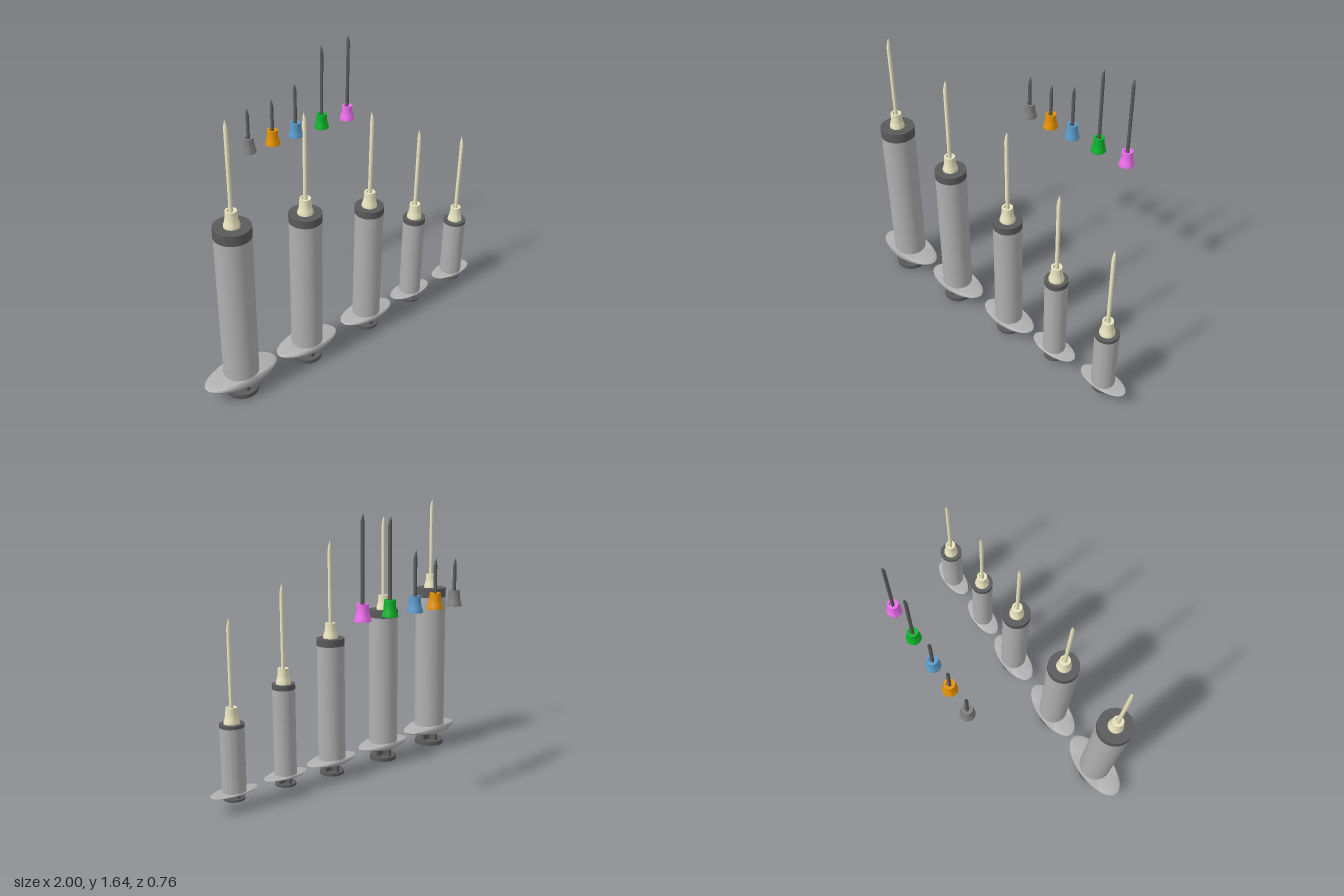
import * as THREE from 'three';
import { toCreasedNormals } from 'three/addons/utils/BufferGeometryUtils.js';

const mat = (color) => new THREE.MeshStandardMaterial({ color });
const BARREL = mat(0xb0b0b0), DARK = mat(0x5a5a5a), CREAM = mat(0xeae5c0);

function add(parent, name, geometry, material) {
  const mesh = new THREE.Mesh(geometry, material);
  mesh.name = name;
  parent.add(mesh);
  return mesh;
}

// Revolved profile of [radius, height] pairs, listed from bottom to top
function turned(profile, segments = 32) {
  const points = profile.map(([r, y]) => new THREE.Vector2(r, y));
  return toCreasedNormals(new THREE.LatheGeometry(points, segments), 0.6);
}

function disc(r, y0, y1) {
  return turned([[0, y0], [r, y0], [r, y1], [0, y1]], 40);
}

// Flared hub with a small recess in the top, 0.09 tall
function hub(y) {
  return turned([[0, 0], [0.044, 0], [0.043, 0.012], [0.038, 0.026], [0.033, 0.05],
    [0.031, 0.09], [0.02, 0.09], [0.017, 0.075], [0, 0.075]].map(([r, h]) => [r, y + h]));
}

// Thin shaft with a slanted point
function needle(y0, tip, r, taper) {
  const g = new THREE.LatheGeometry([[0, y0], [r, y0], [r, tip - taper], [r * 0.7, tip - taper * 0.5], [0, tip]]
    .map(([a, b]) => new THREE.Vector2(a, b)), 16);
  const p = g.attributes.position;
  for (let i = 0; i < p.count; i++) {
    const t = Math.max(0, (p.getY(i) - tip + taper) / taper);
    p.setZ(i, p.getZ(i) - t * r * 0.5);
  }
  return toCreasedNormals(g, 0.6);
}

// Oval finger flange, thick in the middle and thinning towards both wing tips
function fingerFlange(halfX, halfZ, y0, y1) {
  const h = (y1 - y0) / 2;
  const profile = [[0, -1], [0.45, -1], [0.92, -1], [0.98, -0.6], [1, 0], [0.98, 0.6], [0.92, 1], [0.45, 1], [0, 1]];
  const g = new THREE.LatheGeometry(profile.map(([r, y]) => new THREE.Vector2(r, y)), 56);
  const p = g.attributes.position;
  for (let i = 0; i < p.count; i++) {
    const x = p.getX(i);
    const thickness = h * (1 - 0.75 * Math.min(1, Math.abs(x)));
    p.setXYZ(i, x * halfX, (y0 + y1) / 2 + p.getY(i) * thickness, p.getZ(i) * halfZ);
  }
  g.computeVertexNormals();
  return toCreasedNormals(g, 0.6);
}

function syringe(s) {
  const g = new THREE.Group();
  g.name = 'syringe';
  const [f0, f1] = s.flange;
  const [b0, b1] = s.base;
  add(g, 'barrel', disc(s.r, f0 + 0.002, s.cap), BARREL);
  add(g, 'collar', disc(s.r + 0.001, s.cap, s.top), DARK);
  add(g, 'fingerFlange', fingerFlange(s.halfX, s.halfZ, f0, f1), BARREL);
  add(g, 'hub', hub(s.top), CREAM);
  add(g, 'needle', needle(s.top + 0.05, s.tip, 0.011, 0.06), CREAM);

  // Plunger: thumb disc, crossed ribs and a small inner collar
  add(g, 'thumbDisc', disc(s.baseR, b0, b1), DARK);
  const ribTop = f0 + 0.01;
  for (const turn of [0, Math.PI / 2]) {
    const rib = add(g, 'plungerRib', new THREE.BoxGeometry(s.r * 1.35, ribTop - b1, s.r * 0.2), DARK);
    rib.position.y = (ribTop + b1) / 2;
    rib.rotation.y = turn;
  }
  add(g, 'plungerCollar', disc(s.r * 0.7, ribTop - 0.018, ribTop), DARK);
  g.position.set(s.x, 0, 0.27);
  return g;
}

function spareNeedle(x, tip, color) {
  const g = new THREE.Group();
  g.name = 'spareNeedle';
  add(g, 'hub', hub(1.07), mat(color));
  add(g, 'needle', needle(1.12, tip, 0.01, 0.045), DARK);
  g.position.set(x, 0, -0.34);
  return g;
}

export function createModel() {
  const model = new THREE.Group();
  model.name = 'syringeSet';

  // Five syringes from largest to smallest
  [
    { x: -0.774, r: 0.099, cap: 1.012, top: 1.07, tip: 1.645, halfX: 0.226, halfZ: 0.108, flange: [0.085, 0.145], base: [0.003, 0.03], baseR: 0.094 },
    { x: -0.323, r: 0.09, cap: 0.93, top: 0.976, tip: 1.555, halfX: 0.203, halfZ: 0.098, flange: [0.08, 0.125], base: [0, 0.025], baseR: 0.084 },
    { x: 0.125, r: 0.082, cap: 0.812, top: 0.855, tip: 1.43, halfX: 0.186, halfZ: 0.089, flange: [0.085, 0.12], base: [0.018, 0.036], baseR: 0.074 },
    { x: 0.487, r: 0.065, cap: 0.614, top: 0.643, tip: 1.215, halfX: 0.148, halfZ: 0.071, flange: [0.094, 0.112], base: [0.043, 0.056], baseR: 0.06 },
    { x: 0.848, r: 0.067, cap: 0.47, top: 0.488, tip: 1.065, halfX: 0.149, halfZ: 0.071, flange: [0.094, 0.108], base: [0.058, 0.07], baseR: 0.06 },
  ].forEach((s) => model.add(syringe(s)));

  // Five spare needles with colour-coded hubs
  [[-0.27, 1.34, 0x808080], [-0.103, 1.35, 0xe89200], [0.062, 1.405, 0x5a9bcb],
    [0.258, 1.59, 0x0cb52c], [0.457, 1.61, 0xf06ef0]].forEach((n) => model.add(spareNeedle(...n)));

  return model;
}
